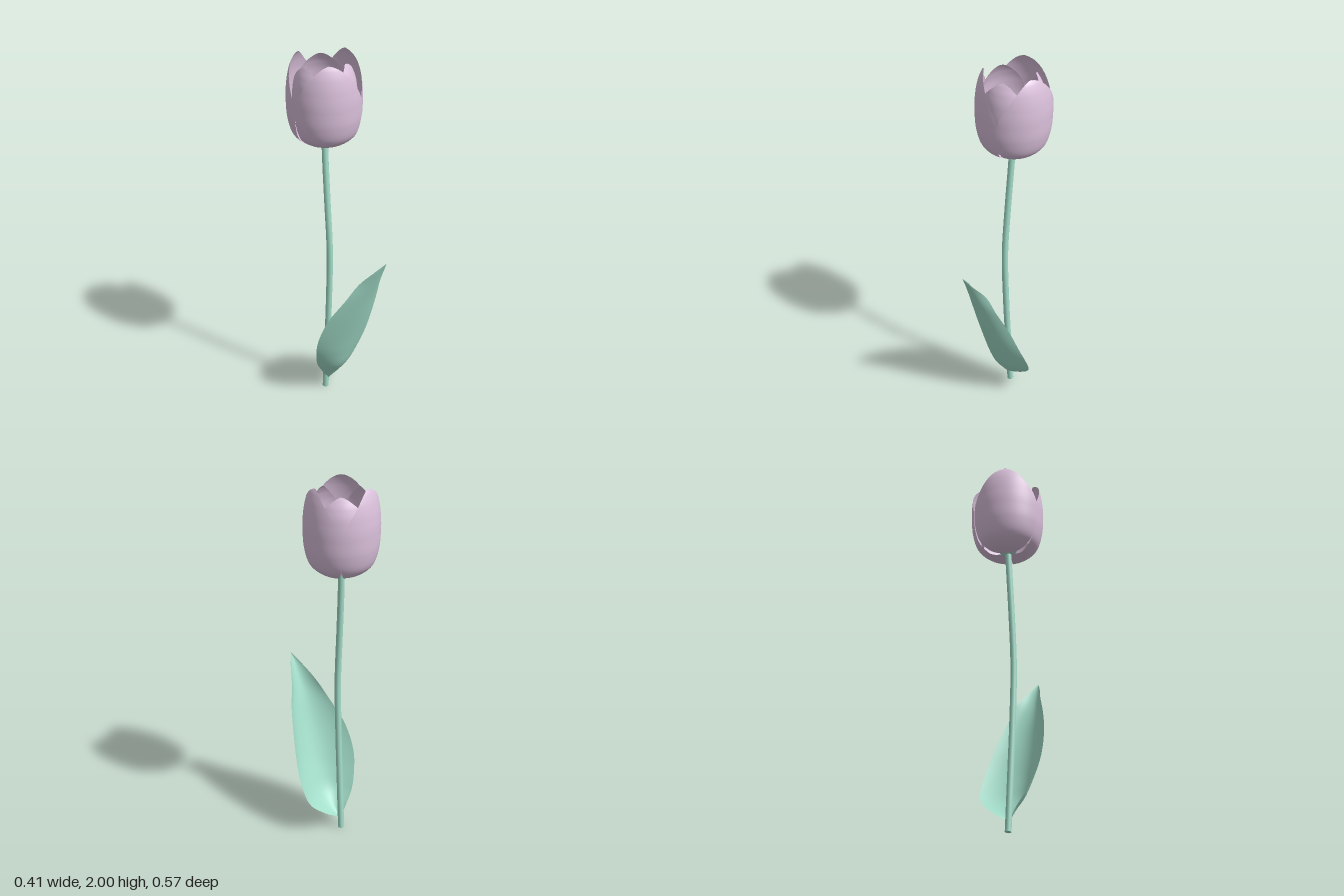
import * as THREE from 'three';
import { ParametricGeometry } from 'three/addons/geometries/ParametricGeometry.js';

const green = new THREE.MeshStandardMaterial({ color: 0xa4dfcb, side: THREE.DoubleSide });
const pink = new THREE.MeshStandardMaterial({ color: 0xdcc2dd, side: THREE.DoubleSide });
const V = (x, y, z) => new THREE.Vector3(x, y, z);
const spline = (rows) => new THREE.CatmullRomCurve3(rows.map((r) => V(...r)));

function add(parent, name, geometry, material) {
  const mesh = new THREE.Mesh(geometry, material);
  mesh.name = name;
  parent.add(mesh);
  return mesh;
}

// Petal rows from base to tip: radius, height, half-angle of the arc
const OUTER = [
  [0.02, 1.55, 0.84], [0.07, 1.54, 0.87], [0.12, 1.555, 0.97], [0.165, 1.6, 1.03],
  [0.188, 1.68, 1.06], [0.194, 1.77, 1.06], [0.19, 1.86, 0.85], [0.178, 1.93, 0.6],
  [0.162, 1.975, 0.36], [0.148, 1.997, 0.12], [0.145, 2.0, 0.02],
];
const INNER = [
  [0.13, 1.575, 0.25], [0.15, 1.65, 0.85], [0.165, 1.77, 1.03], [0.16, 1.85, 0.9],
  [0.145, 1.91, 0.65], [0.125, 1.95, 0.35], [0.112, 1.968, 0.1], [0.11, 1.97, 0.02],
];

function petalGeometry(rows) {
  const profile = spline(rows);
  const p = V(0, 0, 0);
  return new ParametricGeometry((u, v, target) => {
    profile.getPoint(v, p);
    const s = 2 * u - 1;
    const a = -s * p.z;
    const r = p.x * (1 + 0.015 * s); // one edge laps over its neighbour
    target.set(r * Math.cos(a), p.y, r * Math.sin(a));
  }, 20, 40);
}

// Leaf edges and midrib, from base to tip
const LEFT_EDGE = [
  [-0.02, 0.065, -0.09], [-0.05, 0.12, -0.085], [-0.1, 0.2, -0.065], [-0.135, 0.3, -0.03],
  [-0.148, 0.4, 0], [-0.125, 0.55, 0.055], [-0.06, 0.7, 0.13], [-0.01, 0.8, 0.175],
  [0.04, 0.88, 0.235], [0.084, 0.94, 0.28],
];
const MIDRIB = [
  [-0.01, 0.065, -0.075], [0.01, 0.12, -0.035], [0.02, 0.2, 0.02], [0.03, 0.3, 0.06],
  [0.04, 0.4, 0.095], [0.05, 0.55, 0.145], [0.06, 0.7, 0.192], [0.07, 0.8, 0.227],
  [0.077, 0.88, 0.256], [0.085, 0.94, 0.281],
];
const RIGHT_EDGE = [
  [0, 0.065, -0.09], [0.09, 0.12, -0.09], [0.175, 0.2, -0.085], [0.2, 0.3, -0.045],
  [0.202, 0.4, 0], [0.19, 0.55, 0.06], [0.165, 0.7, 0.13], [0.14, 0.8, 0.17],
  [0.112, 0.88, 0.235], [0.086, 0.94, 0.28],
];

function leafGeometry() {
  const [left, mid, right] = [LEFT_EDGE, MIDRIB, RIGHT_EDGE].map(spline);
  const [l, m, r] = [V(), V(), V()];
  return new ParametricGeometry((u, v, target) => {
    left.getPoint(v, l);
    mid.getPoint(v, m);
    right.getPoint(v, r);
    // parabola through edge, midrib and edge
    const s = 2 * u - 1;
    target.copy(m).multiplyScalar(1 - s * s)
      .addScaledVector(l, (s * s - s) / 2)
      .addScaledVector(r, (s * s + s) / 2);
  }, 20, 40);
}

export function createModel() {
  const model = new THREE.Group();
  model.name = 'tulip';

  // Gently bowed stem with a closed foot
  const stemPath = spline([
    [-0.015, 0, -0.097], [-0.015, 0.3, -0.08], [-0.015, 0.6, -0.064], [-0.015, 0.9, -0.056],
    [-0.015, 1.2, -0.074], [-0.013, 1.42, -0.09], [-0.01, 1.58, -0.1],
  ]);
  add(model, 'stem', new THREE.TubeGeometry(stemPath, 40, 0.017, 12), green);
  const foot = add(model, 'stemFoot', new THREE.CircleGeometry(0.017, 12), green);
  foot.rotation.x = Math.PI / 2;
  foot.position.set(-0.015, 0.001, -0.097);

  add(model, 'leaf', leafGeometry(), green);

  // Flower head: three outer petals, three inner ones in the gaps, and a round heart
  const flower = new THREE.Group();
  flower.name = 'flower';
  flower.position.set(-0.008, 0, -0.1);
  model.add(flower);
  const outer = petalGeometry(OUTER);
  const inner = petalGeometry(INNER);
  for (let i = 0; i < 3; i++) {
    const turn = (i * 2 * Math.PI) / 3;
    add(flower, 'outerPetal', outer, pink).rotation.y = turn;
    add(flower, 'innerPetal', inner, pink).rotation.y = turn + Math.PI / 3;
  }
  add(flower, 'flowerHeart', new THREE.SphereGeometry(0.057, 20, 14), green).position.y = 1.6;

  return model;
}
